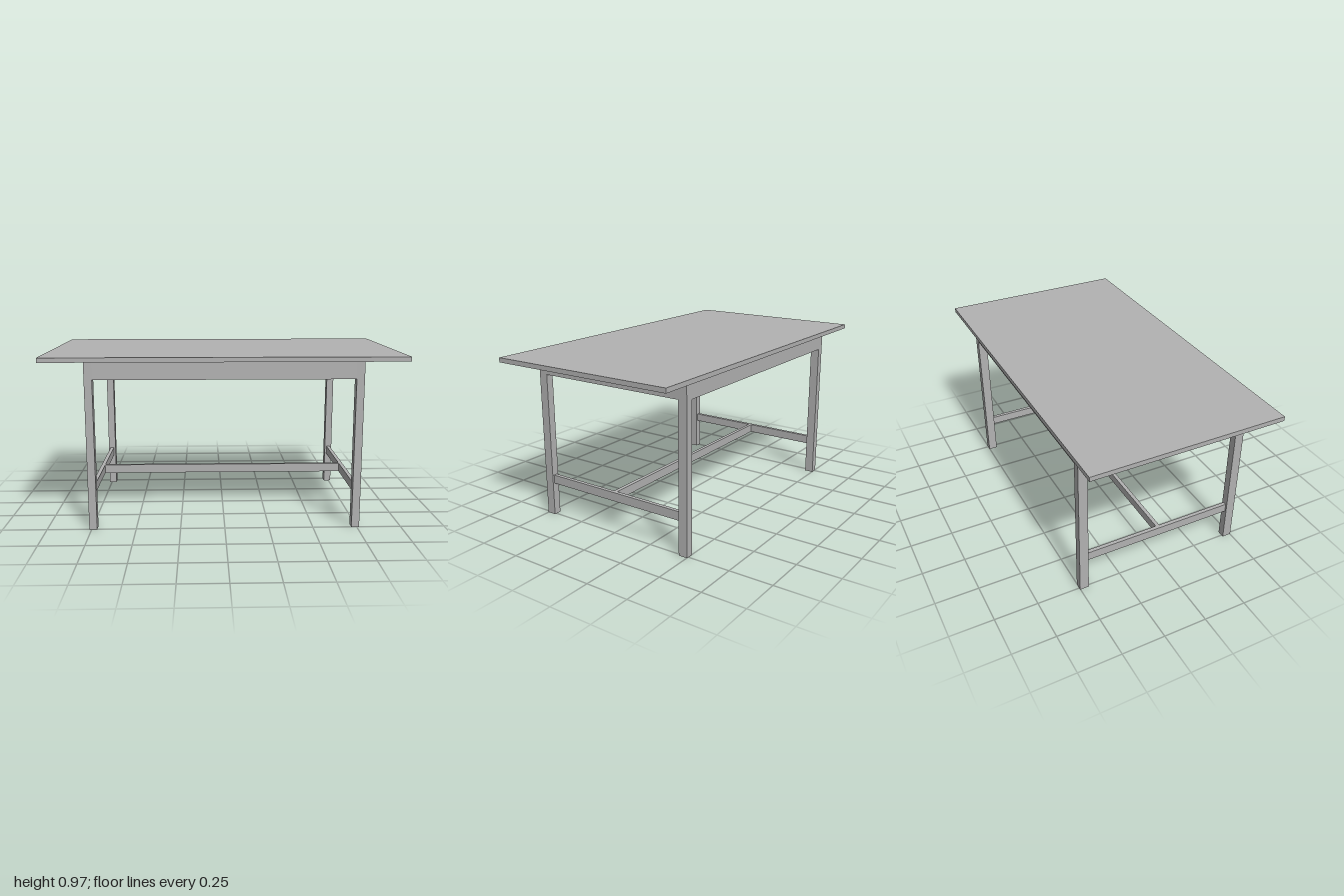
import * as THREE from 'three';

export function createModel() {
  const group = new THREE.Group();
  const grey = new THREE.MeshStandardMaterial({ color: 0xb2b2b2 });
  grey.name = 'plain grey';

  // Box given by its centre in x and z, and its bottom and top heights
  const box = (name, x, z, width, depth, bottom, top) => {
    const mesh = new THREE.Mesh(new THREE.BoxGeometry(width, top - bottom, depth), grey);
    mesh.position.set(x, (bottom + top) / 2, z);
    mesh.name = name;
    group.add(mesh);
  };

  const topY = 0.948;
  const outX = 0.763, outZ = 0.502;      // outer faces of the frame
  const legW = 0.044, legD = 0.053;
  const legX = outX - legW / 2, legZ = outZ - legD / 2;
  const innerX = outX - legW, innerZ = outZ - legD;
  const board = 0.022;                   // thickness of aprons and stretchers

  box('tableTop', 0, 0, 2, 1.108, topY, 0.974);

  for (const s of [1, -1]) {
    const side = s > 0 ? 'left' : 'right';
    const end = s > 0 ? 'front' : 'back';

    // Legs
    box(side + 'FrontLeg', s * legX, legZ, legW, legD, 0, topY);
    box(side + 'BackLeg', s * legX, -legZ, legW, legD, 0, topY);

    // Aprons, flush with the outside of the legs
    box(end + 'Apron', 0, s * (outZ - board / 2), innerX * 2, board, 0.847, topY);
    box(side + 'Apron', s * (outX - board / 2), 0, board, innerZ * 2, 0.847, topY);

    // Side stretchers, centred on the legs
    box(side + 'Stretcher', s * legX, 0, board, innerZ * 2, 0.193, 0.244);
  }

  // Long stretcher between the side stretchers
  box('centreStretcher', 0, 0, 2 * (legX - board / 2), board, 0.193, 0.244);

  return group;
}
